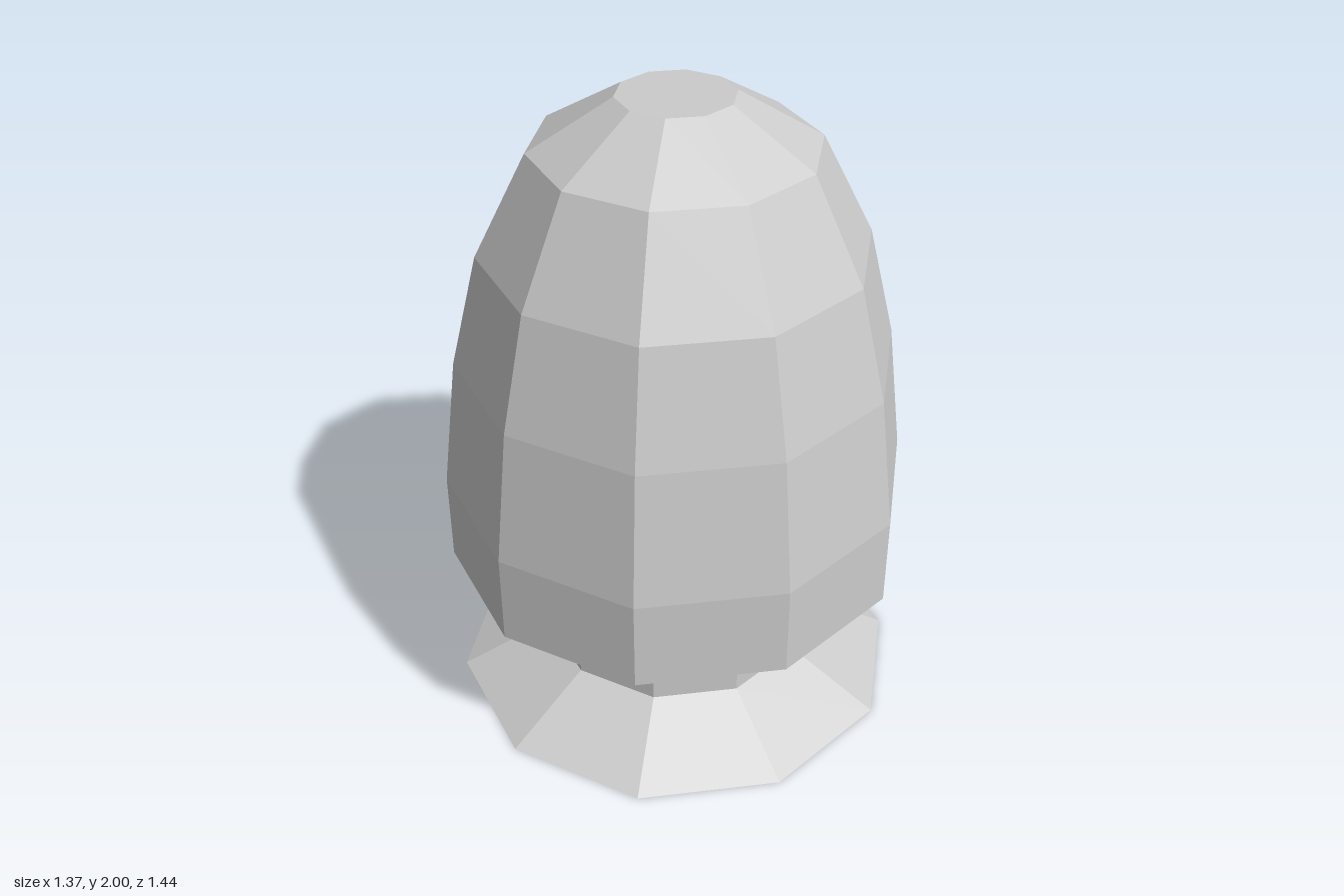
import * as THREE from 'three';

const SIDES = 10;

export function createModel() {
  const model = new THREE.Group();
  const material = new THREE.MeshStandardMaterial({
    color: 0xcccccc, flatShading: true, side: THREE.DoubleSide,
  });

  // Ten-sided shell turned from [radius, height] points, listed bottom to top
  const addTurned = (name, profile) => {
    const points = profile.map(([r, y]) => new THREE.Vector2(r, y));
    const mesh = new THREE.Mesh(new THREE.LatheGeometry(points, SIDES), material);
    mesh.name = name;
    model.add(mesh);
  };

  // Flared foot, open underneath
  addTurned('flaredFoot', [[0.715, 0], [0.43, 0.15]]);

  // Straight hollow neck
  addTurned('neck', [[0.43, 0.15], [0.43, 0.48]]);

  // Hollow domed head: ring-shaped underside, tapering walls, flat top
  addTurned('domedHead', [
    [0.43, 0.48], [0.72, 0.48], [0.72, 0.77], [0.667, 1.19],
    [0.58, 1.54], [0.422, 1.85], [0.173, 2], [0, 2],
  ]);

  return model;
}
